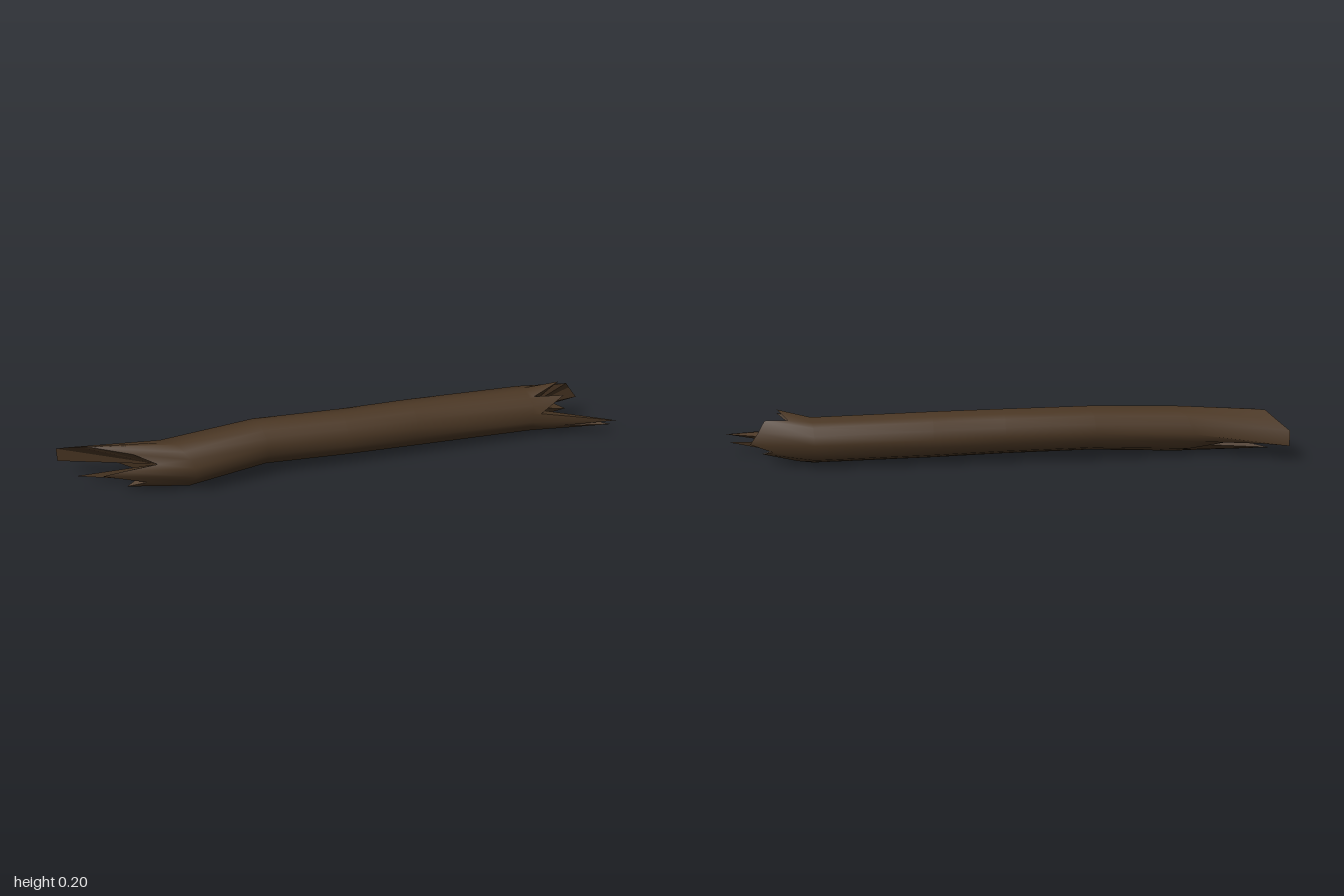
import * as THREE from 'three';

const SIDES = 16; // eight facets, each split once so the ends can splinter

// Trunk sections: centre x, y, z, radius, lean of the section along x
const SECTIONS = [
  [-0.60, 0.082, 0.060, 0.083, 0.85],
  [-0.30, 0.104, 0.008, 0.080, 0.30],
  [0.00, 0.098, -0.010, 0.081, 0.10],
  [0.25, 0.094, -0.033, 0.083, 0.10],
  [0.67, 0.086, -0.067, 0.082, 0.25],
];

// Splinter tips and notches, going front, top, back, bottom
const LEFT_TIPS = [
  [-0.85, 0.085, 0.105], [-0.78, 0.10, 0.11], [-0.66, 0.11, 0.10], [-0.74, 0.14, 0.07],
  [-0.88, 0.165, 0.04], [-0.92, 0.165, 0.03], [-0.96, 0.14, -0.01], [-1.0, 0.115, -0.045],
  [-1.0, 0.06, -0.05], [-0.91, 0.06, -0.03], [-0.80, 0.06, -0.01], [-0.72, 0.035, 0.02],
  [-0.94, 0.03, 0.01], [-0.70, 0.02, 0.06], [-0.77, 0.03, 0.10], [-0.70, 0.05, 0.115],
];
const RIGHT_TIPS = [
  [0.99, 0.065, 0.035], [0.72, 0.10, 0.0], [0.80, 0.165, -0.01], [0.70, 0.15, -0.04],
  [0.79, 0.195, -0.055], [0.75, 0.165, -0.08], [0.83, 0.165, -0.085], [0.85, 0.13, -0.11],
  [0.88, 0.085, -0.11], [0.80, 0.06, -0.12], [0.84, 0.045, -0.10], [0.72, 0.02, -0.10],
  [0.85, 0.03, -0.06], [0.70, 0.015, -0.045], [0.98, 0.04, 0.02], [0.74, 0.04, 0.0],
];

function sectionRing([cx, cy, cz, r, lean]) {
  return Array.from({ length: SIDES }, (_, k) => {
    const a = THREE.MathUtils.degToRad(-7 + k * 360 / SIDES);
    const rad = k % 2 ? r * Math.cos(Math.PI / 8) : r;
    const dz = rad * Math.cos(a);
    return [cx + lean * dz, cy + rad * Math.sin(a), cz + dz];
  });
}

function buildGeometry(points, index) {
  const geo = new THREE.BufferGeometry();
  geo.setAttribute('position', new THREE.Float32BufferAttribute(points.flat(), 3));
  geo.setIndex(index);
  return geo;
}

// Smooth bark skin through all the rings
function barkGeometry(rings) {
  const index = [];
  for (let i = 0; i < rings.length - 1; i++) {
    for (let k = 0; k < SIDES; k++) {
      const n = (k + 1) % SIDES;
      const a = i * SIDES + k, d = i * SIDES + n;
      const b = a + SIDES, c = d + SIDES;
      index.push(a, b, d, b, c, d);
    }
  }
  const geo = buildGeometry(rings.flat(), index);
  geo.computeVertexNormals();
  return geo;
}

// Jagged broken face: a fan from a recessed core out to the tips
function breakGeometry(tips, core, facing) {
  const index = [];
  for (let k = 0; k < SIDES; k++) {
    const n = (k + 1) % SIDES;
    if (facing > 0) index.push(SIDES, n, k);
    else index.push(SIDES, k, n);
  }
  const geo = buildGeometry([...tips, core], index).toNonIndexed();
  geo.computeVertexNormals();
  return geo;
}

export function createModel() {
  const group = new THREE.Group();
  group.name = 'brokenLog';
  const wood = new THREE.MeshStandardMaterial({ color: 0x4c3825, side: THREE.DoubleSide });
  wood.name = 'dark brown wood';

  const add = (name, geo) => {
    const mesh = new THREE.Mesh(geo, wood);
    mesh.name = name;
    group.add(mesh);
  };
  add('bark', barkGeometry([LEFT_TIPS, ...SECTIONS.map(sectionRing), RIGHT_TIPS]));
  add('leftBreak', breakGeometry(LEFT_TIPS, [-0.66, 0.08, 0.055], -1));
  add('rightBreak', breakGeometry(RIGHT_TIPS, [0.68, 0.085, -0.067], 1));
  return group;
}
